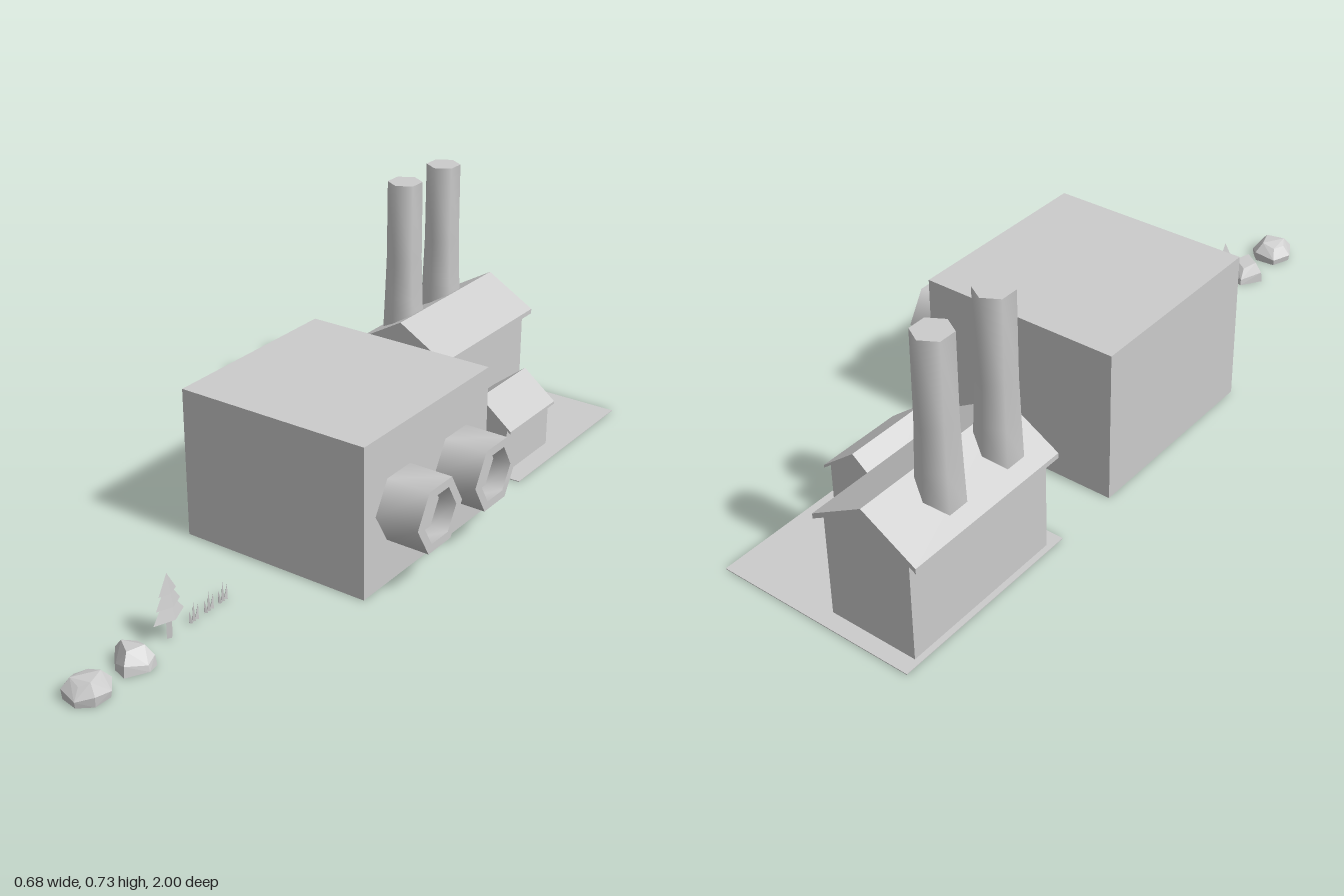
import * as THREE from 'three';
import { toCreasedNormals } from 'three/addons/utils/BufferGeometryUtils.js';
import { ConvexGeometry } from 'three/addons/geometries/ConvexGeometry.js';

const smooth = new THREE.MeshStandardMaterial({ color: 0xcccccc });
const flat = new THREE.MeshStandardMaterial({ color: 0xcccccc, flatShading: true });

function add(parent, name, geometry, material = flat, x = 0, y = 0, z = 0) {
  const mesh = new THREE.Mesh(geometry, material);
  mesh.name = name;
  mesh.position.set(x, y, z);
  parent.add(mesh);
  return mesh;
}

// Box given by its lowest and highest corners
function block(parent, name, [x0, y0, z0], [x1, y1, z1]) {
  add(parent, name, new THREE.BoxGeometry(x1 - x0, y1 - y0, z1 - z0), flat,
    (x0 + x1) / 2, (y0 + y1) / 2, (z0 + z1) / 2);
}

// Six-sided turned shape, rounded around the axis with crisp rims
function hexLathe(profile) {
  const points = profile.map(([r, y]) => new THREE.Vector2(r, y));
  return toCreasedNormals(new THREE.LatheGeometry(points, 6), 1.3);
}

// Outline in x and y, extruded from z0 to z1
function prism(points, z0, z1) {
  const shape = new THREE.Shape(points.map(([x, y]) => new THREE.Vector2(x, y)));
  return new THREE.ExtrudeGeometry(shape, { depth: z1 - z0, bevelEnabled: false }).translate(0, 0, z0);
}

// Gabled house with an overhanging roof slab
function house(name, o) {
  const g = new THREE.Group();
  g.name = name;
  g.position.x = o.x;
  const slope = (o.ridge - o.eave) / o.roofHalf;
  const peak = o.ridge - o.thick;
  const wallTop = peak - slope * o.wallHalf;
  add(g, name + 'Walls', prism([
    [-o.wallHalf, 0], [o.wallHalf, 0], [o.wallHalf, wallTop], [0, peak], [-o.wallHalf, wallTop],
  ], ...o.wallZ));
  add(g, name + 'Roof', prism([
    [-o.roofHalf, o.eave - o.thick], [0, peak], [o.roofHalf, o.eave - o.thick],
    [o.roofHalf, o.eave], [0, o.ridge], [-o.roofHalf, o.eave],
  ], ...o.roofZ));
  return g;
}

// Faceted boulder: rings of [scale, height] over a plan outline
function rock(parent, name, outline, cx, cz, rings, lean) {
  const points = [];
  for (const [scale, y] of rings) {
    outline.forEach(([x, z], i) => points.push(new THREE.Vector3(
      (x - cx) * scale, Math.max(0, y + (y > 0 ? lean * (i % 2 ? 1 : -1) : 0)), (z - cz) * scale)));
  }
  add(parent, name, new ConvexGeometry(points), flat, cx, 0, cz);
}

export function createModel() {
  const model = new THREE.Group();
  model.name = 'factoryScene';

  // Large block with two open pipes on its left side
  block(model, 'mainBlock', [-0.33, 0, -0.27], [0.22, 0.413, 0.28]);
  const pipe = hexLathe([[0.097, 0], [0.097, 0.12], [0.071, 0.12], [0.071, 0.07], [0, 0.07]]);
  for (const z of [0.135, -0.12]) {
    add(model, 'pipe', pipe, smooth, 0.22, 0.207, z).rotation.z = -Math.PI / 2;
  }

  // Factory yard and its two gabled buildings
  block(model, 'yard', [-0.33, 0, -1], [0.22, 0.002, -0.455]);
  model.add(house('hall', {
    x: -0.195, wallHalf: 0.12, wallZ: [-0.957, -0.497],
    roofHalf: 0.146, roofZ: [-0.965, -0.485], eave: 0.275, ridge: 0.36, thick: 0.014,
  }));
  model.add(house('annex', {
    x: 0.082, wallHalf: 0.083, wallZ: [-0.7, -0.474],
    roofHalf: 0.098, roofZ: [-0.708, -0.468], eave: 0.135, ridge: 0.213, thick: 0.008,
  }));

  // Flared chimneys standing on the hall roof
  const chimney = hexLathe([[0, 0.28], [0.058, 0.28], [0.053, 0.4], [0.049, 0.51], [0.048, 0.73], [0, 0.73]]);
  for (const z of [-0.59, -0.785]) add(model, 'chimney', chimney, smooth, -0.255, 0, z);

  // Narrow tiered pine tree
  const tree = new THREE.Group();
  tree.name = 'tree';
  tree.position.set(-0.057, 0, 0.668);
  for (const [bottom, top, half] of [[0.055, 0.125, 0.053], [0.088, 0.152, 0.042], [0.122, 0.173, 0.03]]) {
    const tier = add(tree, 'foliage', new THREE.ConeGeometry(half, top - bottom, 4), flat, 0, (bottom + top) / 2);
    tier.scale.x = 0.4;
  }
  const trunk = add(tree, 'trunk', new THREE.CylinderGeometry(0.01, 0.01, 0.06, 4), flat, 0, 0.03);
  trunk.scale.x = 0.6;
  model.add(tree);

  // Grass tufts: three leaning blades each
  const blade = new THREE.ConeGeometry(0.006, 1, 4).translate(0, 0.5, 0);
  for (const z of [0.582, 0.527, 0.475]) {
    const tuft = new THREE.Group();
    tuft.name = 'grassTuft';
    tuft.position.set(-0.057, 0, z);
    for (const [dz, h] of [[-0.011, 0.04], [0, 0.052], [0.011, 0.036]]) {
      const b = add(tuft, 'grassBlade', blade, flat, 0, 0, dz);
      b.scale.y = h;
      b.rotation.x = dz * 14;
    }
    model.add(tuft);
  }

  // Boulders
  rock(model, 'frontRock', [[-0.09, 0.895], [-0.03, 0.89], [-0.003, 0.92], [-0.005, 0.97],
    [-0.04, 1], [-0.09, 0.99], [-0.111, 0.95]], -0.057, 0.945, [[0.95, 0], [1, 0.022], [0.6, 0.048]], 0.005);
  rock(model, 'backRock', [[-0.07, 0.743], [-0.005, 0.77], [0, 0.8], [-0.03, 0.853],
    [-0.07, 0.84], [-0.108, 0.8]], -0.055, 0.8, [[1, 0], [0.93, 0.022], [0.55, 0.048]], 0.006);

  return model;
}
